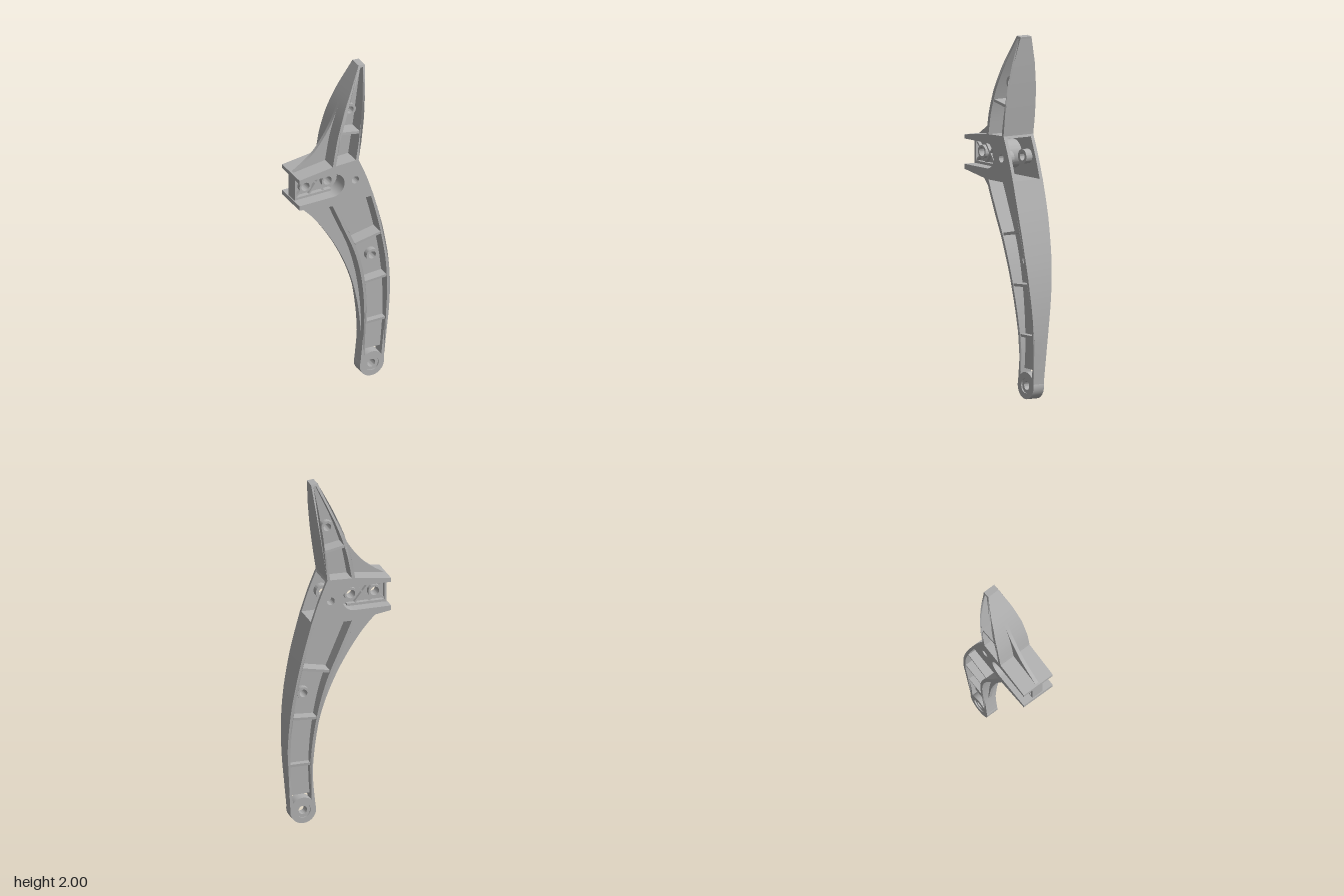
import * as THREE from 'three';
import { toCreasedNormals } from 'three/addons/utils/BufferGeometryUtils.js';

const grey = new THREE.MeshStandardMaterial({ color: 0xb0b0b0 });
grey.name = 'grey plastic';

// half depth of the body at each height
const DEPTH = [[0, 0.035], [0.25, 0.035], [0.4, 0.051], [0.6, 0.072], [0.8, 0.089], [1, 0.098],
  [1.12, 0.1], [1.55, 0.1], [1.7, 0.092], [1.85, 0.07], [2, 0.035]];
function bodyDepth(y) {
  for (let i = 1; i < DEPTH.length; i++) {
    const [y0, d0] = DEPTH[i - 1], [y1, d1] = DEPTH[i];
    if (y <= y1) return d0 + (d1 - d0) * Math.max(0, y - y0) / (y1 - y0);
  }
  return 0.035;
}

const curve = (pts, n = 28) =>
  new THREE.SplineCurve(pts.map(p => new THREE.Vector2(...p))).getPoints(n).map(p => [p.x, p.y]);

export function createModel() {
  const model = new THREE.Group();
  model.name = 'bracketArm';

  // outline extruded evenly about z = 0; depth is a half depth or a rule of height
  function slab(name, pts, depth, holes = []) {
    const shape = new THREE.Shape(pts.map(p => new THREE.Vector2(...p)));
    for (const [x, y, r] of holes) {
      const h = new THREE.Path();
      h.absarc(x, y, r, 0, Math.PI * 2, true);
      shape.holes.push(h);
    }
    let g = new THREE.ExtrudeGeometry(shape, { depth: 2, bevelEnabled: false, curveSegments: 20 });
    const p = g.attributes.position;
    for (let i = 0; i < p.count; i++) {
      const d = typeof depth === 'function' ? depth(p.getY(i)) : depth;
      p.setZ(i, (p.getZ(i) - 1) * d);
    }
    g.computeVertexNormals();
    g = toCreasedNormals(g, 0.4);
    const m = new THREE.Mesh(g, grey);
    m.name = name;
    model.add(m);
    return m;
  }
  const band = (name, a, b, depth, holes) => slab(name, [...a, ...[...b].reverse()], depth, holes);

  // straight bar of thickness t between two points
  function bar(name, x0, y0, x1, y1, t, depth) {
    const l = Math.hypot(x1 - x0, y1 - y0), nx = -(y1 - y0) / l * t / 2, ny = (x1 - x0) / l * t / 2;
    return slab(name, [[x0 - nx, y0 - ny], [x1 - nx, y1 - ny], [x1 + nx, y1 + ny], [x0 + nx, y0 + ny]], depth);
  }
  function ring(name, x, y, outer, inner, depth, z = 0) {
    const pts = [];
    for (let i = 0; i < 40; i++) {
      const a = i / 40 * Math.PI * 2;
      pts.push([x + Math.cos(a) * outer, y + Math.sin(a) * outer]);
    }
    slab(name, pts, depth, [[x, y, inner]]).position.z = z;
  }
  const ribDepth = y => bodyDepth(y) * 0.95;

  // upper arm: two side walls, thin web, tip and rib
  const upLeft = curve([[-0.085, 1.44], [-0.055, 1.6], [0.005, 1.78], [0.11, 2]]);
  const upLeftIn = curve([[-0.066, 1.44], [-0.034, 1.6], [0.027, 1.78], [0.122, 1.99]]);
  const upRight = curve([[0.075, 1.44], [0.102, 1.62], [0.126, 1.8], [0.148, 1.995]]);
  const upRightIn = curve([[0.058, 1.44], [0.086, 1.62], [0.11, 1.8], [0.135, 1.985]]);
  band('upperLeftWall', upLeft, upLeftIn, bodyDepth);
  band('upperRightWall', upRight, upRightIn, bodyDepth);
  band('upperWeb', upLeftIn, upRightIn, 0.01, [[0.055, 1.735, 0.022]]);
  slab('upperTip', [[0.104, 1.985], [0.147, 1.985], [0.149, 1.996], [0.11, 2]], bodyDepth);
  bar('upperRib', -0.038, 1.634, 0.092, 1.61, 0.015, ribDepth);
  ring('upperBoss', 0.055, 1.735, 0.036, 0.022, 0.04);

  // lower arm: two side walls, thin web and ribs
  const lowLeft = curve([[-0.085, 1.19], [-0.018, 1.03], [0.053, 0.86], [0.1, 0.69], [0.129, 0.5], [0.139, 0.3], [0.121, 0.09]]);
  const lowLeftIn = curve([[-0.066, 1.19], [0.003, 1.03], [0.073, 0.86], [0.118, 0.69], [0.146, 0.5], [0.156, 0.3], [0.142, 0.09]]);
  const lowRight = curve([[0.169, 1.19], [0.225, 0.98], [0.266, 0.77], [0.285, 0.6], [0.29, 0.45], [0.285, 0.3], [0.266, 0.08]]);
  const lowRightIn = curve([[0.153, 1.19], [0.207, 0.98], [0.248, 0.77], [0.267, 0.6], [0.273, 0.45], [0.268, 0.3], [0.248, 0.08]]);
  band('lowerLeftWall', lowLeft, lowLeftIn, bodyDepth);
  band('lowerRightWall', lowRight, lowRightIn, bodyDepth);
  band('lowerWeb', lowLeftIn.filter(p => p[1] > 0.14), lowRightIn.filter(p => p[1] > 0.14), 0.01, [[0.193, 0.77, 0.022]]);
  for (const [x0, y0, x1, y1] of [[0.06, 0.902, 0.222, 0.934], [0.127, 0.628, 0.264, 0.637], [0.153, 0.35, 0.271, 0.35]])
    bar('lowerRib', x0, y0, x1, y1, 0.015, ribDepth);
  ring('lowerBoss', 0.193, 0.77, 0.036, 0.022, 0.04);
  ring('footEye', 0.193, 0.075, 0.075, 0.042, 0.035);
  ring('footBush', 0.193, 0.075, 0.043, 0.024, 0.028);

  // thin curved gussets between the arms and the clamp
  const upFin = curve([[-0.285, 1.412], [-0.16, 1.5], [-0.06, 1.635], [0.005, 1.78]]);
  slab('upperGusset', [...upFin, [-0.045, 1.6], [-0.08, 1.435]], 0.01);
  const lowFin = curve([[-0.285, 1.224], [-0.15, 1.08], [-0.025, 0.885], [0.065, 0.68], [0.115, 0.48], [0.138, 0.28]]);
  band('lowerGusset', lowFin, lowLeft.filter(p => p[1] > 0.28), 0.01);

  // hub: floor, ceiling and two side plates, open towards the outer edge
  slab('hubFloor', [[-0.085, 1.19], [0.169, 1.19], [0.165, 1.205], [-0.085, 1.205]], 0.1);
  slab('hubCeiling', [[-0.085, 1.43], [0.08, 1.43], [0.075, 1.445], [-0.085, 1.44]], 0.1);
  const cx = -0.082, cy = 1.32, arc = [], arcOut = [];
  for (let i = 0; i <= 24; i++) {
    const a = -Math.PI / 2 + i / 24 * Math.PI;
    arc.push([cx + Math.cos(a) * 0.07, cy + Math.sin(a) * 0.07]);
    arcOut.push([cx + Math.cos(a) * 0.08, cy + Math.sin(a) * 0.08]);
  }
  const outer = curve([[0.169, 1.19], [0.125, 1.322], [0.075, 1.445]], 8);
  for (const s of [-1, 1]) {
    slab('hubPlate', [[cx, 1.19], ...outer, [cx, 1.44], ...[...arc].reverse()], 0.01, [[0.055, cy, 0.022]])
      .position.z = s * 0.09;
    ring('hubBoss', 0.055, cy, 0.04, 0.022, 0.02, s * 0.06);
  }

  // clamp: two jaws, rounded end wall and a ribbed centre web
  band('clampEndWall', arc, arcOut, 0.0995);
  slab('upperJaw', [[-0.293, 1.39], [cx, 1.39], [cx, 1.44], [-0.293, 1.413]], 0.1);
  slab('lowerJaw', [[-0.293, 1.25], [-0.293, 1.223], [cx, 1.19], [cx, 1.25]], 0.1);
  const holes = [-0.22, -0.082];
  slab('clampWeb', [[-0.287, 1.25], ...arc, [-0.287, 1.39]], 0.01, holes.map(x => [x, cy, 0.025]));
  for (const x of holes) ring('clampBoss', x, cy, 0.037, 0.025, 0.035);
  bar('clampEndRib', -0.281, 1.25, -0.281, 1.39, 0.012, 0.035);
  for (const s of [-1, 1]) {
    bar('clampEdgeRib', -0.287, cy + s * 0.062, -0.06, cy + s * 0.062, 0.014, 0.035);
    bar('clampCrossRib', -0.195, cy - s * 0.055, -0.107, cy + s * 0.055, 0.01, 0.03);
    bar('clampCornerRib', -0.28, cy + s * 0.056, -0.248, cy + s * 0.026, 0.01, 0.03);
  }
  return model;
}
